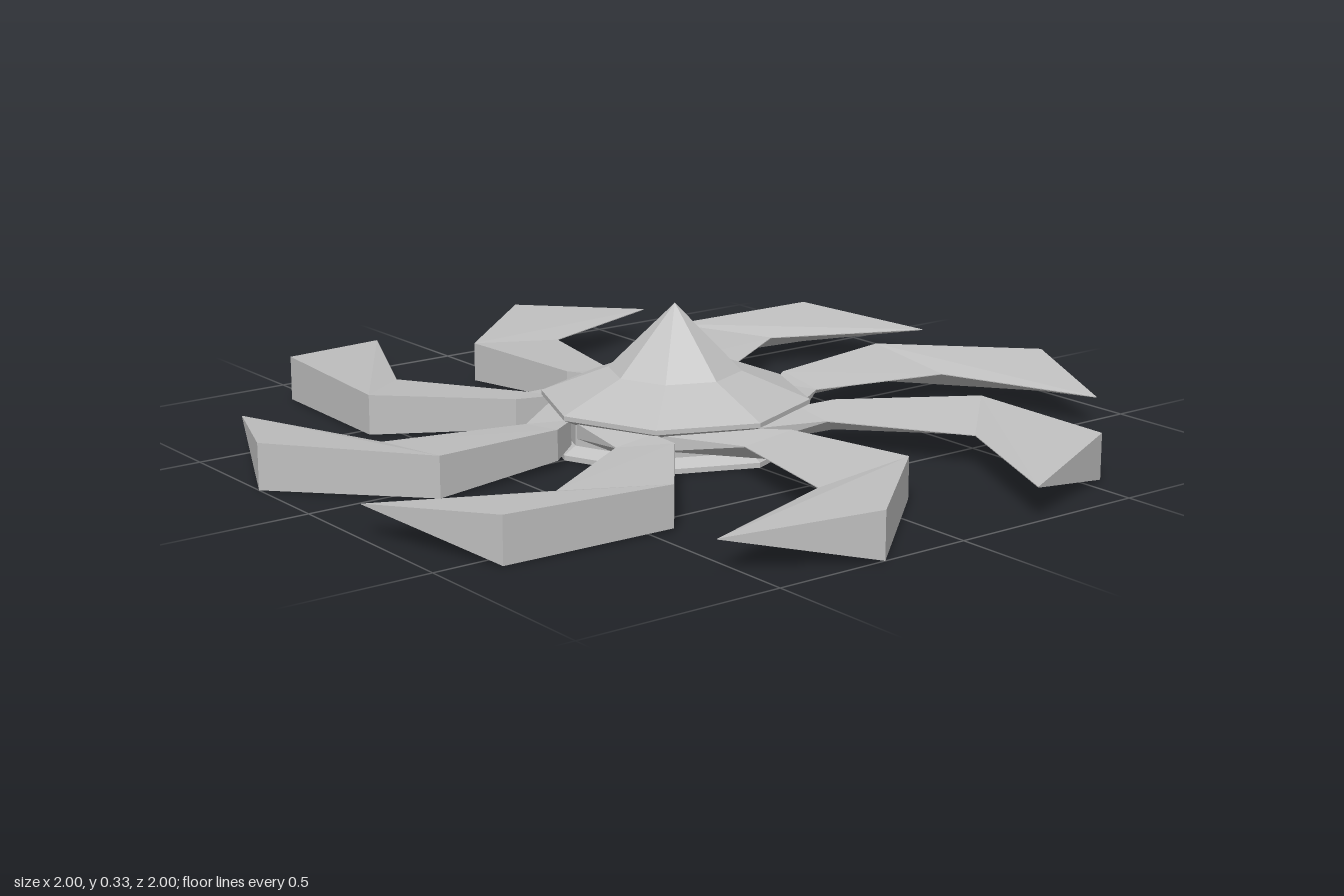
import * as THREE from 'three';

const steel = new THREE.MeshStandardMaterial({ color: 0xc0c0c0 });
steel.name = 'grey steel';

const SIDES = 8;

// Separate faces so that every facet has its own flat normal
function faceted(geometry) {
  const flat = geometry.index ? geometry.toNonIndexed() : geometry;
  flat.computeVertexNormals();
  return flat;
}

// Octagonal hub: grooved rim below, stepped pyramid above
function hubGeometry() {
  const profile = [
    [0, 0], [0.322, 0], [0.322, 0.012], [0.29, 0.03],
    [0.29, 0.08], [0.322, 0.095], [0.322, 0.106], [0.16, 0.17], [0, 0.33],
  ].map(([r, y]) => new THREE.Vector2(r, y));
  return faceted(new THREE.LatheGeometry(profile, SIDES));
}

// Hooked blade, thick along its outer edge and sharp along its inner edge.
// Each section is [x, z, bottom, top] for the inner and the outer edge.
function bladeGeometry() {
  const sections = [
    [[-0.2, 0.215, 0.05, 0.086], [-0.01, 0.295, 0.03, 0.09]],
    [[-0.085, 0.37, 0.075, 0.077], [0.05, 0.375, 0.02, 0.094]],
    [[-0.16, 0.715, 0.075, 0.077], [0.095, 0.722, 0.006, 0.104]],
    [[-0.55, 0.86, 0.075, 0.077], [-0.22, 1, 0, 0.11]],
  ];
  const positions = [];
  for (const [[ix, iz, ib, it], [ox, oz, ob, ot]] of sections) {
    positions.push(ix, ib, iz, ix, it, iz, ox, ot, oz, ox, ob, oz);
  }
  const index = [];
  for (let k = 0; k < sections.length - 1; k++) {
    for (let i = 0; i < 4; i++) {
      const a = k * 4 + i, b = k * 4 + (i + 1) % 4;
      index.push(a, a + 4, b, b, a + 4, b + 4);
    }
  }
  // End face of the blade
  const e = (sections.length - 1) * 4;
  index.push(e, e + 3, e + 2, e, e + 2, e + 1);

  const geometry = new THREE.BufferGeometry();
  geometry.setAttribute('position', new THREE.Float32BufferAttribute(positions, 3));
  geometry.setIndex(index);
  return faceted(geometry);
}

export function createModel() {
  const model = new THREE.Group();
  model.name = 'throwingStar';

  const hub = new THREE.Mesh(hubGeometry(), steel);
  hub.name = 'hub';
  model.add(hub);

  // Eight equal blades around the hub
  const blade = bladeGeometry();
  for (let i = 0; i < SIDES; i++) {
    const mesh = new THREE.Mesh(blade, steel);
    mesh.name = `blade${i + 1}`;
    mesh.rotation.y = (i / SIDES) * Math.PI * 2;
    model.add(mesh);
  }
  return model;
}
